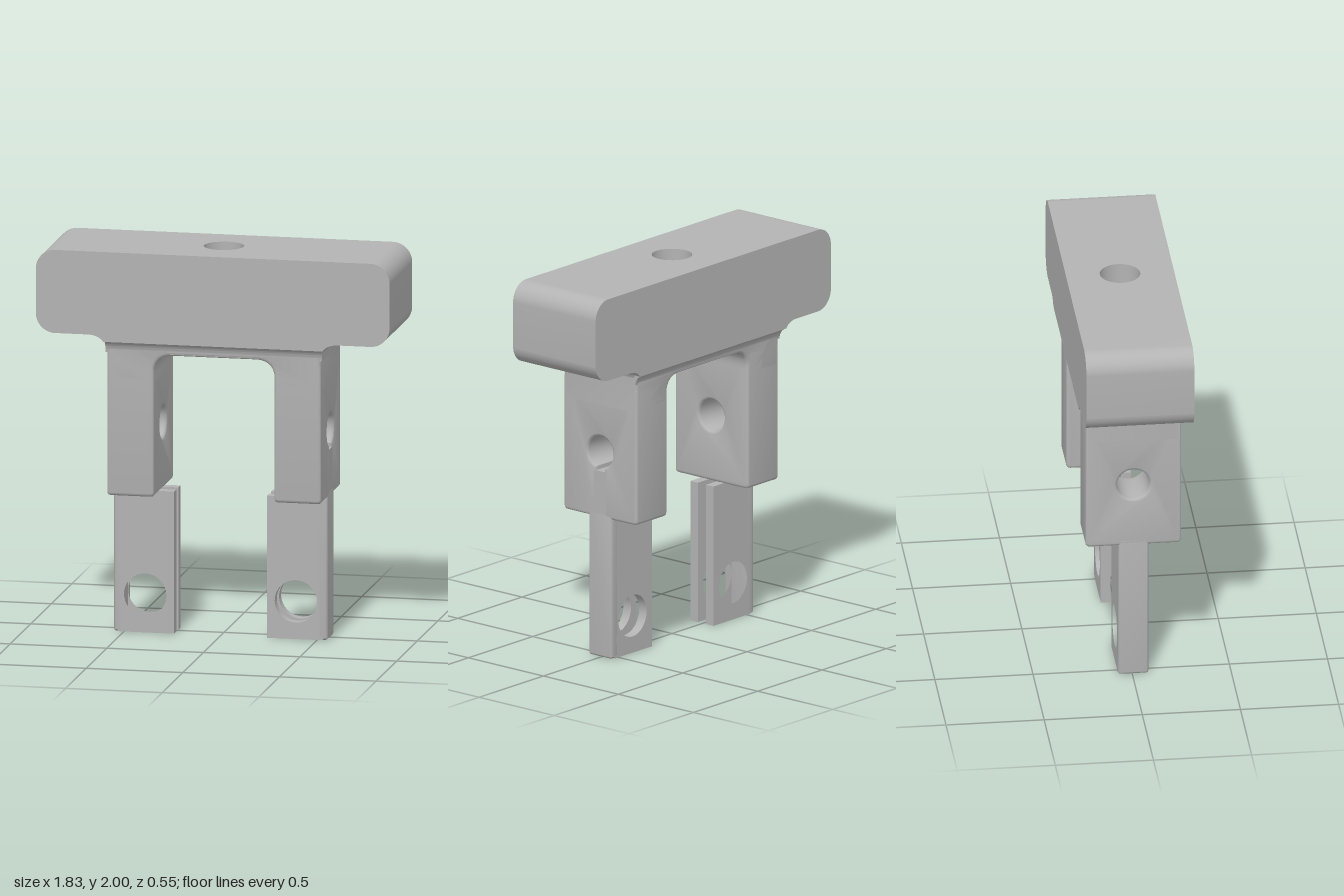
import * as THREE from 'three';
import { toCreasedNormals } from 'three/addons/utils/BufferGeometryUtils.js';

const OFF = 0.006; // slight z offset of the legs
const IN = 0.312, OUT = 0.553; // inner and outer faces of the legs
const LEG_BOTTOM = 0.735;

// Extrusion centred on z, with optional rounded edges inside the outline
function extrude(shape, depth, bevel = 0) {
  const g = new THREE.ExtrudeGeometry(shape, {
    depth: depth - 2 * bevel, curveSegments: 16, bevelEnabled: bevel > 0,
    bevelThickness: bevel, bevelSize: bevel, bevelOffset: -bevel, bevelSegments: 3,
  });
  g.translate(0, 0, bevel - depth / 2);
  return toCreasedNormals(g, 0.6);
}

// Extrusion along x of an outline drawn in (z, y)
function extrudeX(shape, x0, x1, bevel) {
  return extrude(shape, x1 - x0, bevel).rotateY(-Math.PI / 2).translate((x0 + x1) / 2, 0, 0);
}

function circle(x, y, r) {
  return new THREE.Path().absarc(x, y, r, 0, Math.PI * 2, true);
}

// One end of the head block, with rounded corners and the start of the flare
function headEnd(side) {
  const s = new THREE.Shape(), k = side, r = 0.1, w = 0.915;
  s.moveTo(k * 0.2, 2);
  s.lineTo(k * (w - r), 2);
  s.absarc(k * (w - r), 2 - r, r, Math.PI / 2, k > 0 ? 0 : Math.PI, k > 0);
  s.lineTo(k * w, 1.57 + r);
  s.absarc(k * (w - r), 1.57 + r, r, k > 0 ? 0 : Math.PI, k > 0 ? -Math.PI / 2 : Math.PI * 1.5, k > 0);
  s.lineTo(k * 0.65, 1.57);
  s.quadraticCurveTo(k * 0.592, 1.57, k * 0.567, 1.535);
  s.lineTo(k * 0.2, 1.535);
  return extrude(s, 0.55);
}

// Centre of the head block, with the bore from above
function headCentre() {
  const s = new THREE.Shape();
  s.moveTo(-0.2, -0.275).lineTo(0.2, -0.275).lineTo(0.2, 0.275).lineTo(-0.2, 0.275);
  s.holes.push(circle(0, 0, 0.103));
  return extrude(s, 0.465).rotateX(-Math.PI / 2).translate(0, 1.7675, 0);
}

// Arch joining both legs below the head
function archShape() {
  const s = new THREE.Shape();
  s.moveTo(0.65, 1.6).lineTo(-0.65, 1.6).lineTo(-0.65, 1.57);
  s.quadraticCurveTo(-OUT, 1.57, -OUT, 1.47);
  s.lineTo(-OUT, 1.33).lineTo(-IN, 1.33).lineTo(-IN, 1.37);
  s.quadraticCurveTo(-IN, 1.47, -IN + 0.1, 1.47);
  s.lineTo(IN - 0.1, 1.47);
  s.quadraticCurveTo(IN, 1.47, IN, 1.37);
  s.lineTo(IN, 1.33).lineTo(OUT, 1.33).lineTo(OUT, 1.47);
  s.quadraticCurveTo(OUT, 1.57, 0.65, 1.57);
  return s;
}

// Fillet between the arch and the wider head, front and back
function flareShape() {
  const s = new THREE.Shape();
  s.moveTo(0.275, 1.56).lineTo(-0.275, 1.56).lineTo(-0.275, 1.535);
  s.quadraticCurveTo(-0.24, 1.52, -0.236, 1.478);
  s.lineTo(0.248, 1.478);
  s.quadraticCurveTo(0.25, 1.52, 0.275, 1.535);
  return s;
}

// Upper leg with a cross hole; one leg has a slit from the hole to its bottom
function legShape(slit) {
  const s = new THREE.Shape(), w = 0.244, r = 0.025, b = LEG_BOTTOM, hy = 1.08, hr = 0.083;
  s.moveTo(w, 1.45).lineTo(-w, 1.45).lineTo(-w, b + r);
  s.quadraticCurveTo(-w, b, -w + r, b);
  if (slit) {
    const h = 0.025, a = Math.asin(h / hr);
    s.lineTo(-h, b);
    s.absarc(0, hy, hr, -Math.PI / 2 - a, -Math.PI / 2 + a, true);
    s.lineTo(h, b);
  } else {
    s.holes.push(circle(0, hy, hr));
  }
  s.lineTo(w - r, b);
  s.quadraticCurveTo(w, b, w, b + r);
  return s;
}

// Fork plate with a round hole
function plateShape(k) {
  const s = new THREE.Shape(), top = LEG_BOTTOM, r = 0.015;
  s.moveTo(k * 0.24, top).lineTo(k * 0.24, 0).lineTo(k * (OUT - 0.03), 0);
  s.lineTo(k * (OUT - r), r);
  s.lineTo(k * (OUT - r), top);
  s.holes.push(circle(k * 0.39, 0.195, 0.11));
  return s;
}

// Outer wall that closes the fork
function wallShape() {
  const s = new THREE.Shape(), w = 0.077, r = 0.015;
  s.moveTo(w, LEG_BOTTOM + 0.04).lineTo(-w, LEG_BOTTOM + 0.04).lineTo(-w, r);
  s.quadraticCurveTo(-w, 0, -w + r, 0);
  s.lineTo(w - r, 0);
  s.quadraticCurveTo(w, 0, w, r);
  return s;
}

export function createModel() {
  const model = new THREE.Group();
  const grey = new THREE.MeshStandardMaterial({ color: 0xb3b3b3 });
  grey.name = 'grey';
  const add = (name, geometry, parent = model) => {
    const mesh = new THREE.Mesh(geometry, grey);
    mesh.name = name;
    parent.add(mesh);
    return mesh;
  };

  // Head
  const head = new THREE.Group();
  head.name = 'head';
  model.add(head);
  add('headCentre', headCentre(), head);
  add('leftHeadEnd', headEnd(1), head);
  add('rightHeadEnd', headEnd(-1), head);

  // Arch and its fillet
  add('arch', extrude(archShape(), 0.488, 0.018).translate(0, 0, OFF));
  add('archFlare', extrudeX(flareShape(), -0.56, 0.56, 0));

  // Legs and forks
  for (const k of [-1, 1]) {
    const leg = new THREE.Group();
    leg.name = k > 0 ? 'leftLeg' : 'rightLeg';
    leg.position.z = OFF;
    model.add(leg);
    const span = (a, b) => (k > 0 ? [a, b] : [-b, -a]);
    add('upperLeg', extrudeX(legShape(k > 0), ...span(IN, OUT), 0.015), leg);
    if (k > 0) {
      // Closes the slit on the outer side
      add('slitBacking', new THREE.BoxGeometry(0.1, 0.225, 0.1), leg).position.set(OUT - 0.05, 0.8675, 0);
    }
    add('forkWall', extrudeX(wallShape(), ...span(0.5, OUT), 0.012), leg);
    for (const side of [-1, 1]) {
      add('forkPlate', extrude(plateShape(k), 0.05).translate(0, 0, side * 0.052), leg);
    }
  }
  return model;
}
